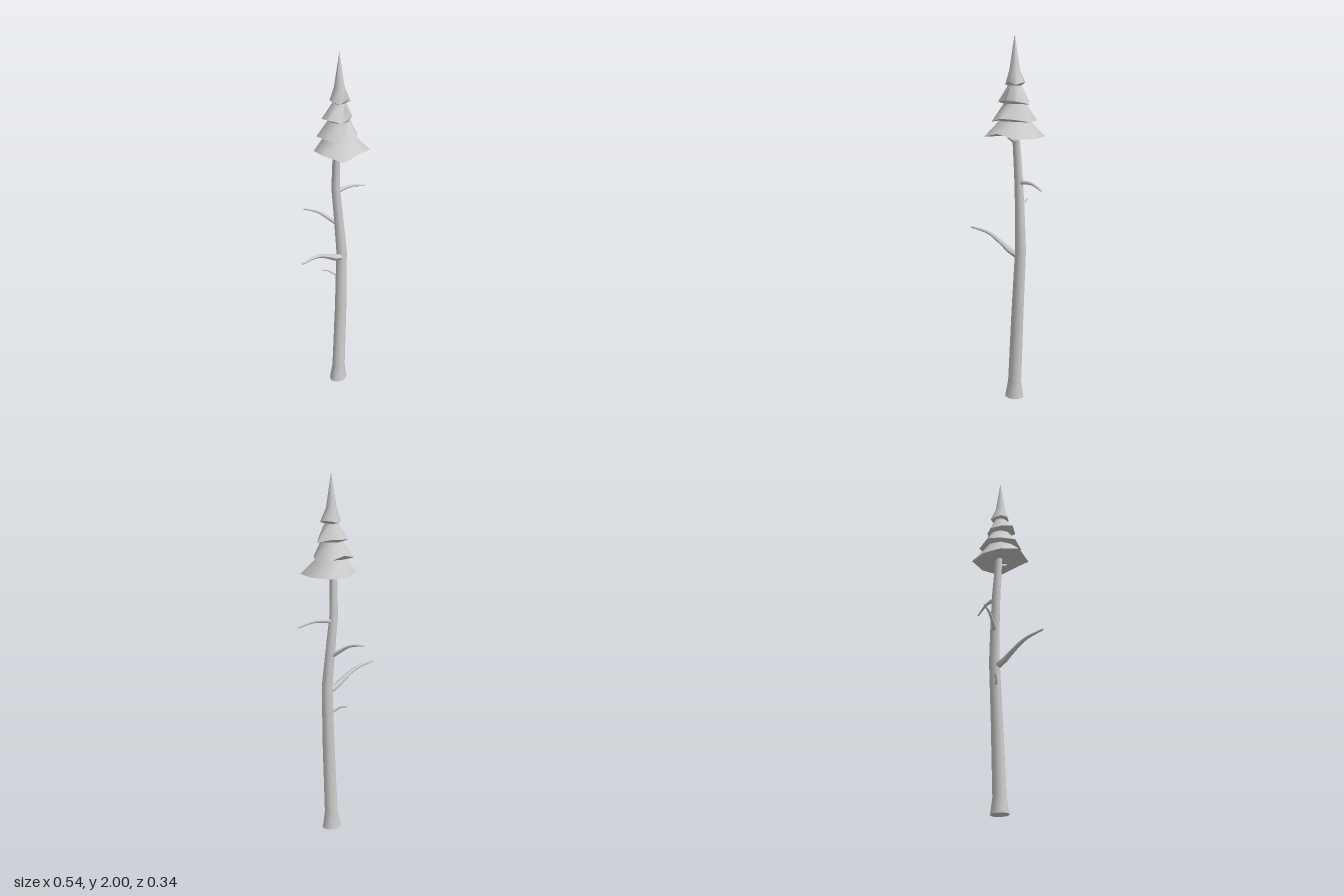
import * as THREE from 'three';
import { toCreasedNormals } from 'three/addons/utils/BufferGeometryUtils.js';

const material = new THREE.MeshStandardMaterial({ color: 0xcccccc });

// Skin a stack of rings (top to bottom), closing both ends.
// Each ring is a list of Vector3 running back, right (+x), front, left.
function loft(rings, crease) {
  const n = rings[0].length;
  const points = rings.flat();
  const index = [];
  for (let k = 0; k < rings.length - 1; k++) {
    for (let i = 0; i < n; i++) {
      const j = (i + 1) % n, a = k * n, b = a + n;
      index.push(a + i, a + j, b + j, a + i, b + j, b + i);
    }
  }
  const centre = ring => ring.reduce((s, p) => s.add(p), new THREE.Vector3()).divideScalar(n);
  const top = points.push(centre(rings[0])) - 1;
  const bottom = points.push(centre(rings[rings.length - 1])) - 1;
  const last = (rings.length - 1) * n;
  for (let i = 0; i < n; i++) {
    const j = (i + 1) % n;
    index.push(top, j, i, bottom, last + i, last + j);
  }
  const geometry = new THREE.BufferGeometry().setFromPoints(points);
  geometry.setIndex(index);
  return toCreasedNormals(geometry, crease);
}

// Point at a step around a ring, starting at the back.
function around(i, n, cx, y, cz, rx, rz = rx) {
  const t = (i / n) * Math.PI * 2;
  return new THREE.Vector3(cx + rx * Math.sin(t), y, cz - rz * Math.cos(t));
}

// Tapered twig along a curve, with a small cap at its tip.
function branch(name, path, r0, r1) {
  const curve = new THREE.CatmullRomCurve3(path.map(p => new THREE.Vector3(...p)));
  const steps = 10, sides = 7;
  const geometry = new THREE.TubeGeometry(curve, steps, 1, sides, false);
  const pos = geometry.attributes.position;
  const v = new THREE.Vector3();
  for (let i = 0; i < pos.count; i++) {
    const u = Math.floor(i / (sides + 1)) / steps;
    const c = curve.getPointAt(u);
    v.fromBufferAttribute(pos, i).sub(c).multiplyScalar(r0 + (r1 - r0) * Math.pow(u, 0.8)).add(c);
    pos.setXYZ(i, v.x, v.y, v.z);
  }
  geometry.computeVertexNormals();
  const group = new THREE.Group();
  group.name = name;
  const tip = new THREE.Mesh(new THREE.SphereGeometry(r1, sides, 4), material);
  tip.name = name + 'Tip';
  tip.position.copy(curve.getPoint(1));
  const stem = new THREE.Mesh(geometry, material);
  stem.name = name + 'Stem';
  group.add(stem, tip);
  return group;
}

export function createModel() {
  const model = new THREE.Group();
  model.name = 'tallPine';

  // Bending trunk: centre x, height, centre z, radius
  const trunkRings = [
    [0.053, 1.56, 0.015, 0.021],
    [0.053, 1.43, 0.004, 0.023],
    [0.06, 1.25, -0.005, 0.026],
    [0.078, 1.05, 0.004, 0.029],
    [0.092, 0.85, 0.015, 0.033],
    [0.077, 0.5, 0.022, 0.037],
    [0.058, 0.09, 0.023, 0.041],
    [0.055, 0, 0.023, 0.056],
  ].map(([x, y, z, r]) => Array.from({ length: 10 }, (_, i) => around(i, 10, x, y, z, r, r * 0.84)));
  const trunk = new THREE.Mesh(loft(trunkRings, 1.0), material);
  trunk.name = 'trunk';
  model.add(trunk);

  // Needle tiers: neck radius and height, then rim radii and rim heights
  const tiers = [
    { neck: [0.028, 1.82],
      r: [0.052, 0.057, 0.058, 0.06, 0.048, 0.05, 0.055, 0.05],
      y: [1.745, 1.755, 1.756, 1.745, 1.76, 1.745, 1.75, 1.755] },
    { neck: [0.036, 1.74],
      r: [0.08, 0.075, 0.099, 0.07, 0.068, 0.088, 0.099, 0.092],
      y: [1.66, 1.66, 1.645, 1.66, 1.665, 1.655, 1.67, 1.655] },
    { neck: [0.058, 1.645],
      r: [0.106, 0.122, 0.115, 0.095, 0.1175, 0.122, 0.119, 0.119],
      y: [1.58, 1.555, 1.55, 1.565, 1.572, 1.55, 1.57, 1.56] },
    { neck: [0.082, 1.555],
      r: [0.136, 0.163, 0.147, 0.167, 0.146, 0.163, 0.15, 0.134],
      y: [1.47, 1.47, 1.468, 1.47, 1.495, 1.47, 1.495, 1.48] },
  ];
  const ring = (r, y) => Array.from({ length: 8 }, (_, i) =>
    around(i, 8, 0.053, y[i] ?? y, 0.02, r[i] ?? r));
  const crownRings = [ring(0.001, 2)];
  for (const t of tiers) crownRings.push(ring(...t.neck), ring(t.r, t.y));
  const crown = new THREE.Mesh(loft(crownRings, 1.0), material);
  crown.name = 'crown';
  model.add(crown);

  // Bare branches along the trunk
  model.add(
    branch('longRightBranch', [[0.085, 0.82, 0.018], [0.02, 0.84, 0.018], [-0.035, 0.872, 0.018],
      [-0.135, 0.918, 0.018], [-0.265, 0.933, 0.018]], 0.021, 0.005),
    branch('leftBranch', [[0.06, 1.217, -0.01], [0.12, 1.226, 0.007], [0.18, 1.226, 0.025],
      [0.262, 1.203, 0.051]], 0.014, 0.004),
    branch('backBranch', [[0.075, 1.025, 0], [0.05, 1.055, -0.04], [0.023, 1.09, -0.095],
      [-0.01, 1.1, -0.168]], 0.015, 0.004),
    branch('smallBackTwig', [[0.075, 0.7, 0.005], [0.05, 0.715, -0.012], [0.033, 0.732, -0.033],
      [0.014, 0.737, -0.062]], 0.008, 0.003),
    branch('frontStub', [[0.053, 1.44, 0.005], [0.053, 1.45, 0.035], [0.053, 1.468, 0.07]], 0.012, 0.006),
  );
  return model;
}
